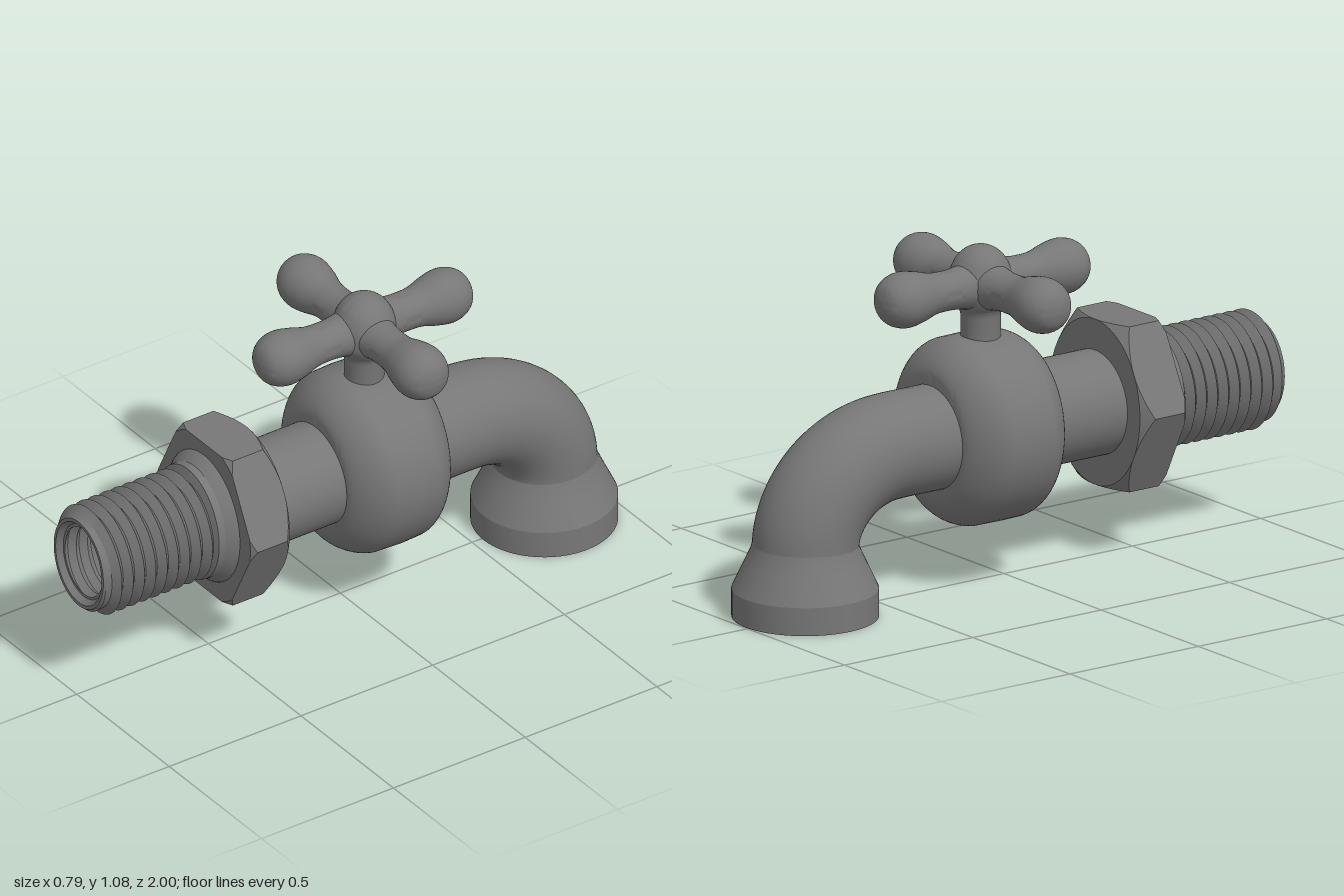
import * as THREE from 'three';
import { toCreasedNormals } from 'three/addons/utils/BufferGeometryUtils.js';

const CX = 0.01, AXIS_Y = 0.49, SPOUT_Z = -0.767, STEM_Z = -0.085;
const material = new THREE.MeshStandardMaterial({ color: 0x777777, side: THREE.DoubleSide });

function add(parent, name, geometry, x = 0, y = 0, z = 0) {
  const mesh = new THREE.Mesh(geometry, material);
  mesh.name = name;
  mesh.position.set(x, y, z);
  parent.add(mesh);
  return mesh;
}

// Profile of [radius, height] pairs turned around y, with sharp edges kept
function turned(profile, crease = 0.5, sides = 64) {
  const points = profile.map(([r, h]) => new THREE.Vector2(r, h));
  return toCreasedNormals(new THREE.LatheGeometry(points, sides), crease);
}

// Same, turned around z
const turnedZ = (...args) => turned(...args).rotateX(Math.PI / 2);

// Smooth profile drawn through a few points
function smooth(profile, divisions) {
  const curve = new THREE.SplineCurve(profile.map(([r, h]) => new THREE.Vector2(r, h)));
  return curve.getPoints(divisions).map((p) => [Math.max(p.x, 0), p.y]);
}

// Helical thread around z: a zigzag profile that climbs one pitch per turn
function thread(root, crest, z0, z1, pitch, inside = false) {
  const points = [];
  for (let z = z0 - pitch, i = 0; z < z1 + pitch; z += pitch / 2, i++) {
    points.push(new THREE.Vector2(i % 2 ? crest : root, z));
  }
  if (inside) points.reverse();
  const geometry = new THREE.LatheGeometry(points, 64);
  const pos = geometry.attributes.position;
  for (let i = 0; i < pos.count; i++) {
    const turn = Math.floor(i / points.length) / 64;
    const z = THREE.MathUtils.clamp(pos.getY(i) + pitch * turn, z0, z1);
    // The last turn is chamfered toward the rim
    const r = Math.hypot(pos.getX(i), pos.getZ(i));
    const k = Math.min(1, (0.157 + (z1 - z) * 1.1) / r);
    pos.setXYZ(i, pos.getX(i) * k, z, pos.getZ(i) * k);
  }
  return toCreasedNormals(geometry, 0.5).rotateX(Math.PI / 2);
}

// Hexagonal nut along z, its corners cut by a cone at each end
function hexNut(apothem, depth, backRadius, frontRadius) {
  const geometry = new THREE.CylinderGeometry(1, 1, depth, 96, 3);
  const pos = geometry.attributes.position;
  for (let i = 0; i < pos.count; i++) {
    const x = pos.getX(i), y = pos.getY(i), z = pos.getZ(i);
    if (Math.hypot(x, z) < 0.5) continue;
    const angle = Math.atan2(x, z), step = Math.PI / 3;
    const hex = apothem / Math.cos(angle - Math.round(angle / step) * step);
    const side = Math.sign(y);
    const cone = side > 0 ? frontRadius : backRadius;
    const atEnd = Math.abs(y) > depth * 0.4;
    const r = atEnd ? Math.min(hex, cone) : hex;
    const newY = atEnd ? y : side * (depth / 2 - Math.max(0, hex - cone) * 0.8);
    pos.setXYZ(i, Math.sin(angle) * r, newY, Math.cos(angle) * r);
  }
  return toCreasedNormals(geometry, 0.4).rotateX(Math.PI / 2);
}

function addInlet(parent) {
  const inlet = new THREE.Group();
  inlet.name = 'inlet';
  inlet.position.set(CX, AXIS_Y, 0);
  inlet.scale.x = 0.867;
  parent.add(inlet);
  add(inlet, 'hexNut', hexNut(0.268, 0.163, 0.268, 0.29), 0, 0, 0.443);
  add(inlet, 'collar', turnedZ([[0.227, 0.52], [0.222, 0.53], [0.197, 0.56], [0.195, 0.585], [0.165, 0.595]]));
  add(inlet, 'outerThread', thread(0.163, 0.191, 0.575, 0.995, 0.043));
  // Front rim, bore entry and threaded bore
  add(inlet, 'rim', turnedZ([[0.157, 0.995], [0.155, 1], [0.143, 1], [0.125, 0.975]]));
  add(inlet, 'innerThread', thread(0.119, 0.137, 0.56, 0.98, 0.043, true));
  add(inlet, 'boreEnd', new THREE.CircleGeometry(0.138, 48), 0, 0, 0.562);
}

function addBody(parent) {
  // Barrel with rounded shoulders, narrowing sideways toward both ends
  const shoulder = [];
  for (let i = 0; i <= 12; i++) {
    const a = (i / 12) * Math.PI / 2;
    shoulder.push([0.2 + 0.1 * Math.sin(a) ** 1.2, 0.08 + 0.11 * Math.cos(a) ** 1.2]);
  }
  const back = shoulder.map(([r, h]) => [r, -h]);
  const front = shoulder.slice().reverse();
  const barrel = turnedZ([[0.1, -0.19], ...back, [0.3, 0], ...front, [0.1, 0.19]]);
  const pos = barrel.attributes.position;
  for (let i = 0; i < pos.count; i++) {
    pos.setX(i, pos.getX(i) * (1 - 0.15 * (pos.getZ(i) / 0.19) ** 2));
  }
  add(parent, 'valveBody', toCreasedNormals(barrel, 0.6), CX, AXIS_Y, -0.09);
  add(parent, 'inletPipe', turnedZ([[0.168, 0], [0.168, 0.38]]), CX, AXIS_Y, 0);
}

function addSpout(parent) {
  // Straight run, then an elliptical bend down to the outlet
  const points = [new THREE.Vector3(0, AXIS_Y, -0.2), new THREE.Vector3(0, AXIS_Y, -0.32)];
  for (let i = 0; i <= 8; i++) {
    const a = (i / 8) * Math.PI / 2;
    points.push(new THREE.Vector3(0, 0.21 + 0.28 * Math.cos(a), -0.44 - 0.327 * Math.sin(a)));
  }
  const path = new THREE.CatmullRomCurve3(points);
  add(parent, 'spoutPipe', new THREE.TubeGeometry(path, 48, 0.167, 48), CX, 0, 0);
  // Flared outlet, hollow from below
  add(parent, 'outlet', turned([
    [0, 0.22], [0.15, 0.21], [0.19, 0.09], [0.19, 0], [0.23, 0], [0.23, 0.09],
    [0.19, 0.175], [0.172, 0.215], [0.166, 0.235],
  ], 0.35), CX, 0, SPOUT_Z);
}

function addHandle(parent) {
  const handle = new THREE.Group();
  handle.name = 'handle';
  handle.position.set(0, 0.957, STEM_Z);
  parent.add(handle);
  // Four arms, thick at the hub, swelling into round knobs
  const arm = turnedZ(smooth([
    [0.082, 0], [0.073, 0.06], [0.065, 0.11], [0.063, 0.15], [0.066, 0.2], [0.081, 0.255],
    [0.089, 0.308], [0.078, 0.353], [0.05, 0.384], [0, 0.397],
  ], 48), 0.8, 40);
  for (let i = 0; i < 4; i++) {
    add(handle, 'arm' + (i + 1), arm).rotation.y = i * Math.PI / 2;
  }
  // Stem flaring into a domed hub
  add(handle, 'stemAndHub', turned([[0.063, -0.2], ...smooth([
    [0.063, -0.1], [0.068, -0.083], [0.082, -0.064], [0.096, -0.035], [0.1, 0], [0.097, 0.035],
    [0.086, 0.066], [0.069, 0.092], [0.045, 0.111], [0.02, 0.121], [0, 0.123],
  ], 40)], 0.8, 48), 0.008);
}

export function createModel() {
  const tap = new THREE.Group();
  tap.name = 'gardenTap';
  addInlet(tap);
  addBody(tap);
  addSpout(tap);
  addHandle(tap);
  return tap;
}
